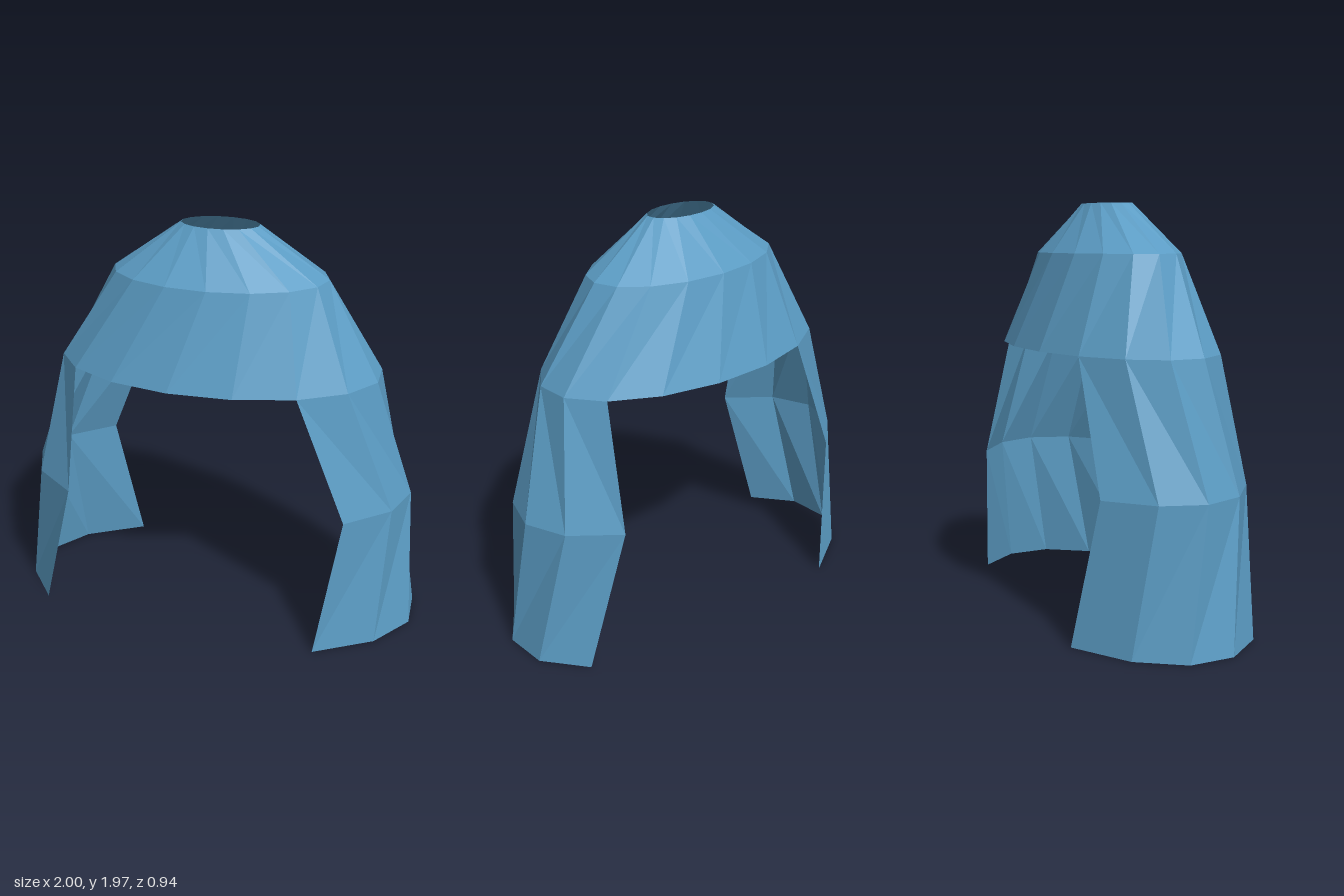
import * as THREE from 'three';

const SIDES = 16;
const STEP = (Math.PI * 2) / SIDES;

// Elliptical rings from the ground up; every other one is turned by half a side.
const RINGS = [
  { y: 0, rx: 1.02, rz: 0.565, turn: 0.5 },
  { y: 0.68, rx: 0.956, rz: 0.533, turn: 0 },
  { y: 1.285, rx: 0.785, rz: 0.438, turn: 0.5 },
  { y: 1.735, rx: 0.515, rz: 0.29, turn: 0 },
  { y: 1.97, rx: 0.186, rz: 0.104, turn: 0.5 },
];

function ringPoint(ring, k) {
  const angle = (k + ring.turn) * STEP;
  return [ring.rx * Math.cos(angle), ring.y, ring.rz * Math.sin(angle)];
}

// Folded panels between rings [from..to], covering side indices [first..last).
function panels(from, to, first, last) {
  const positions = [];
  for (let r = from; r < to; r++) {
    const low = RINGS[r], high = RINGS[r + 1];
    for (let k = first; k < last; k++) {
      const a = ringPoint(low, k), b = ringPoint(low, k + 1);
      const c = ringPoint(high, k), d = ringPoint(high, k + 1);
      // the fold always follows the longer diagonal
      const corners = low.turn > 0 ? [b, a, c, b, c, d] : [b, a, d, a, c, d];
      for (const p of corners) positions.push(...p);
    }
  }
  const geometry = new THREE.BufferGeometry();
  geometry.setAttribute('position', new THREE.Float32BufferAttribute(positions, 3));
  geometry.computeVertexNormals();
  return geometry;
}

export function createModel() {
  const group = new THREE.Group();
  group.name = 'archedCanopy';
  const blue = new THREE.MeshStandardMaterial({
    color: 0x5b9cc4, flatShading: true, side: THREE.DoubleSide,
  });
  blue.name = 'steel blue';

  // Dome, open at the crown
  const dome = new THREE.Mesh(panels(2, 4, 0, SIDES), blue);
  dome.name = 'dome';
  group.add(dome);

  // Two curved legs, half a turn apart
  const legGeometry = panels(0, 2, -2, 2);
  ['leftLeg', 'rightLeg'].forEach((name, i) => {
    const leg = new THREE.Mesh(legGeometry, blue);
    leg.name = name;
    leg.rotation.y = i * Math.PI;
    group.add(leg);
  });
  return group;
}
